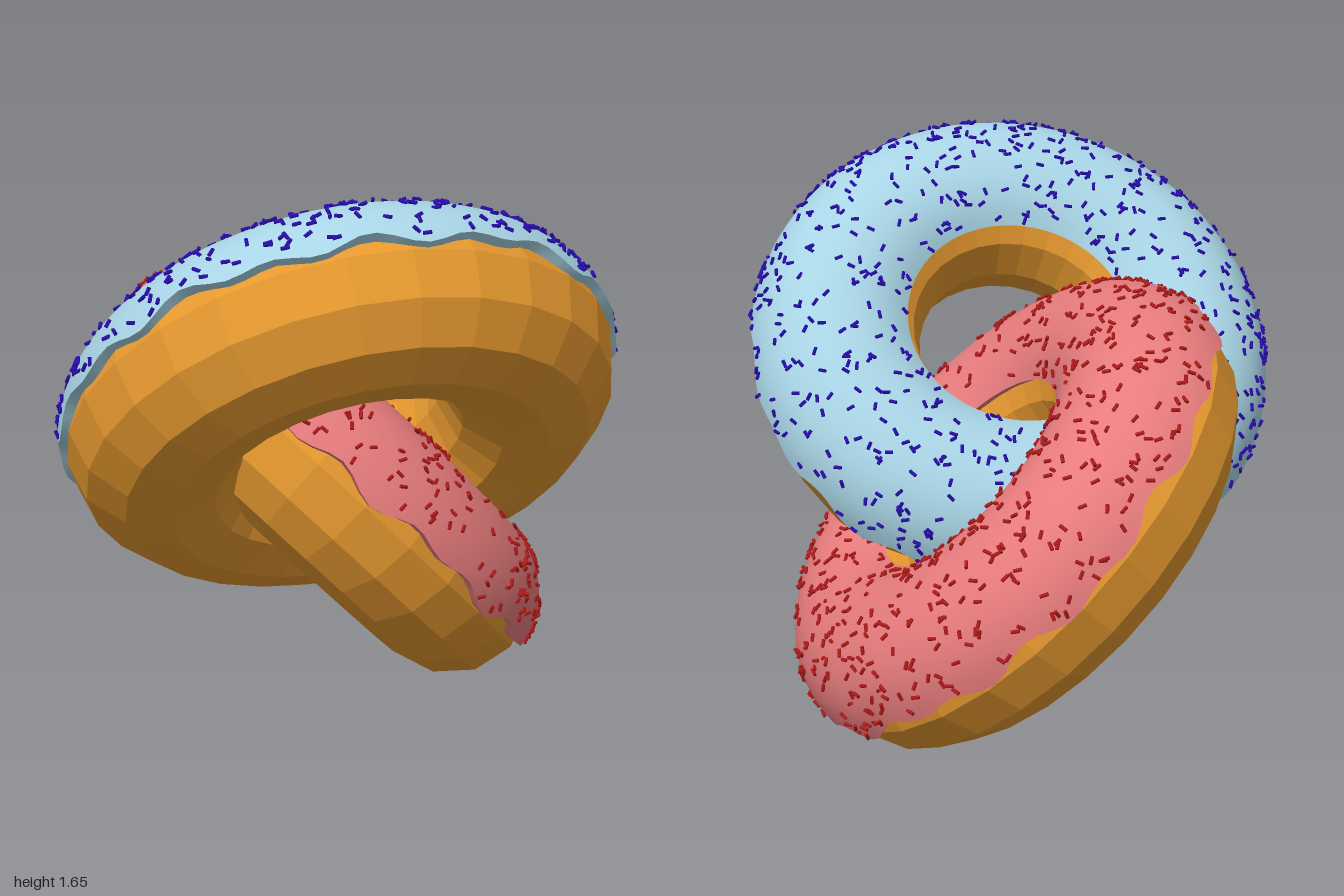
import * as THREE from 'three';
import { mergeGeometries, toCreasedNormals } from 'three/addons/utils/BufferGeometryUtils.js';

const R = 0.545, r = 0.255, ICING = 0.02;   // ring radius, dough radius, icing thickness

const mat = (name, color, flatShading = false) => {
  const m = new THREE.MeshStandardMaterial({ color, flatShading });
  m.name = name;
  return m;
};

function seeded(seed) {
  return () => {
    seed = (seed * 1664525 + 1013904223) % 4294967296;
    return seed / 4294967296;
  };
}

// Point on a ring lying flat: phi runs round the ring, theta round the tube
const ringPoint = (phi, theta, rho) => new THREE.Vector3(
  (R + rho * Math.cos(theta)) * Math.cos(phi),
  rho * Math.sin(theta),
  (R + rho * Math.cos(theta)) * Math.sin(phi)
);

// Uneven dripping outer border of the icing, as a tube angle
const drip = (phi, shift) => 0.12
  + 0.06 * Math.sin(19 * phi + shift)
  + 0.04 * Math.sin(11 * phi + 2 * shift)
  + 0.03 * Math.sin(5 * phi + 3 * shift);
const INNER = 2.36;

// Icing shell: rim wall, rounded top, then a wall at the inner border
function icingGeometry(shift) {
  const nu = 112, nv = 14, row = nv + 3;
  const pos = [], index = [];
  for (let i = 0; i <= nu; i++) {
    const phi = (i / nu) * Math.PI * 2, start = drip(phi, shift);
    for (let j = 0; j < row; j++) {
      const t = THREE.MathUtils.clamp((j - 1) / nv, 0, 1);
      const wall = j === 0 || j === row - 1;
      pos.push(...ringPoint(phi, start + (INNER - start) * t, wall ? r - 0.015 : r + ICING).toArray());
    }
  }
  for (let i = 0; i < nu; i++) {
    for (let j = 0; j < row - 1; j++) {
      const a = i * row + j, b = a + 1, c = a + row, d = c + 1;
      index.push(a, b, c, c, b, d);
    }
  }
  const g = new THREE.BufferGeometry();
  g.setAttribute('position', new THREE.Float32BufferAttribute(pos, 3));
  g.setIndex(index);
  return toCreasedNormals(g, 0.7);
}

// Little rods scattered evenly over the icing, lying nearly flat
function sprinkleGeometry(count, shift, seed) {
  const rand = seeded(seed), parts = [];
  const rod = new THREE.CylinderGeometry(0.0055, 0.0055, 0.024, 5);
  const up = new THREE.Vector3(0, 1, 0);
  while (parts.length < count) {
    const phi = rand() * Math.PI * 2;
    const start = drip(phi, shift) + 0.04;
    const theta = start + (INNER - 0.06 - start) * rand();
    if (rand() > (R + r * Math.cos(theta)) / (R + r)) continue;
    const normal = new THREE.Vector3(
      Math.cos(theta) * Math.cos(phi), Math.sin(theta), Math.cos(theta) * Math.sin(phi));
    const along = new THREE.Vector3(-Math.sin(phi), 0, Math.cos(phi));
    const dir = along.applyAxisAngle(normal, rand() * Math.PI * 2)
      .addScaledVector(normal, rand() * 0.5).normalize();
    const m = new THREE.Matrix4().compose(
      ringPoint(phi, theta, r + ICING + 0.004),
      new THREE.Quaternion().setFromUnitVectors(up, dir),
      new THREE.Vector3(1, 1, 1));
    parts.push(rod.clone().applyMatrix4(m));
  }
  return mergeGeometries(parts);
}

function ringCake(name, dough, icing, sprinkles, shift, seed) {
  const group = new THREE.Group();
  group.name = name;
  const add = (part, geometry, material) => {
    const mesh = new THREE.Mesh(geometry, material);
    mesh.name = part;
    group.add(mesh);
  };
  add('dough', new THREE.TorusGeometry(R, r, 12, 28).rotateX(-Math.PI / 2), dough);
  add('icing', icingGeometry(shift), icing);
  add('sprinkles', sprinkleGeometry(720, shift, seed), sprinkles);
  return group;
}

// Lean a ring so that its iced side faces the given direction
function place(group, position, facing) {
  group.position.set(...position);
  group.quaternion.setFromUnitVectors(
    new THREE.Vector3(0, 1, 0), new THREE.Vector3(...facing).normalize());
  return group;
}

export function createModel() {
  const dough = mat('golden dough', 0xe5982f, true);
  const model = new THREE.Group();
  model.name = 'linkedDoughnuts';

  // Blue ring leans forward, iced side up and back
  model.add(place(
    ringCake('blueDoughnut', dough, mat('pale blue icing', 0xa8d4e5), mat('blue sprinkles', 0x2a0cb4), 0.7, 11),
    [0, 0.985, 0.36], [0, 1, -1]));

  // Pink ring passes through it, iced side up and to the left
  model.add(place(
    ringCake('pinkDoughnut', dough, mat('pink icing', 0xec7e80), mat('red sprinkles', 0xb41a1a), 2.1, 42),
    [0.11, 0.64, -0.165], [1, 1, 0]));

  return model;
}
